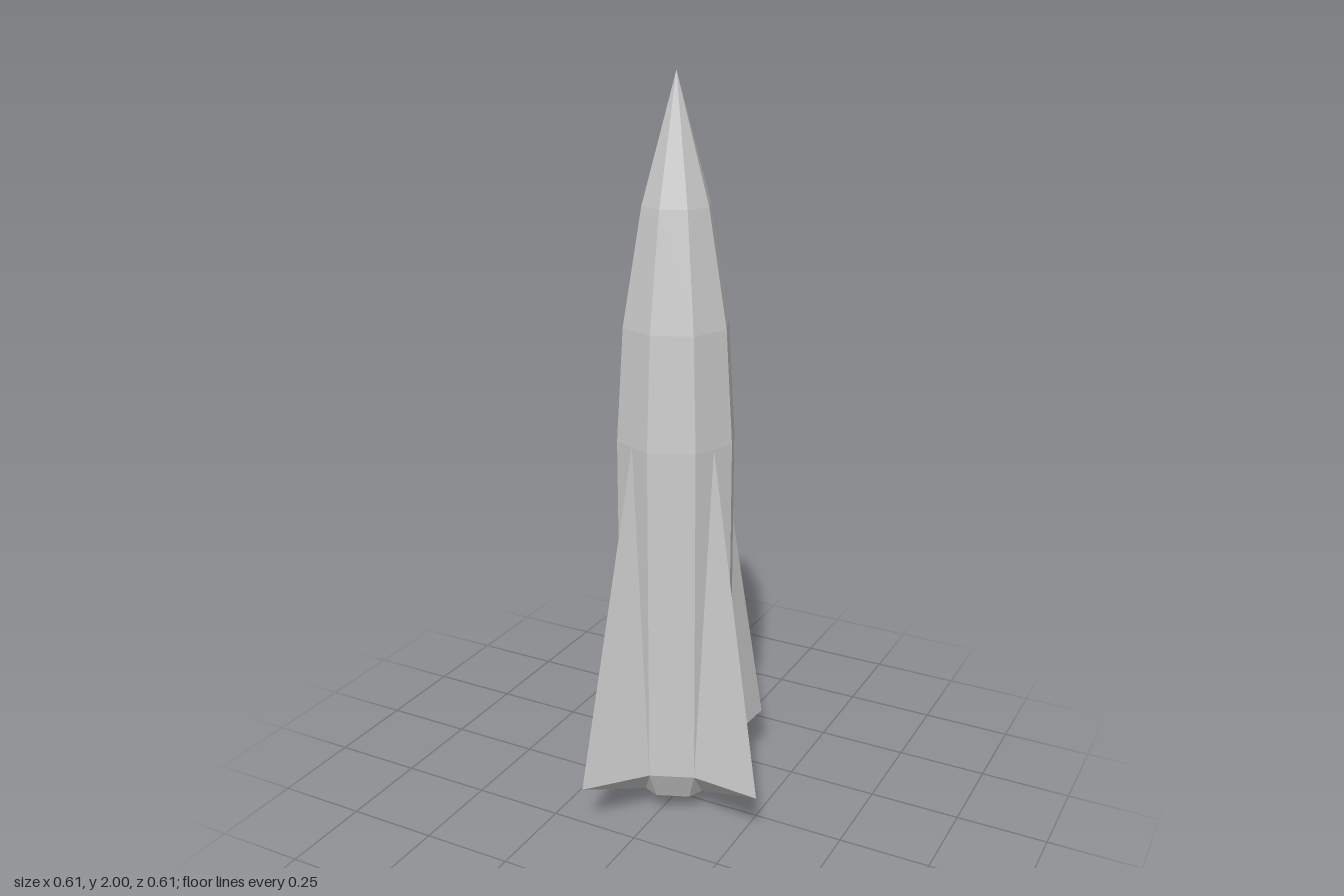
import * as THREE from 'three';

const SIDES = 8;
const HALF = Math.PI / SIDES; // half the angle of one hull side
const BODY_R = 0.16, TAIL_R = 0.12;
const RIM_Y = 0.145, TAIL_Y = 0.06, SHOULDER_Y = 1.08;

// One fin pointing along +z, rooted on the flat of one hull side
function finGeometry() {
  const face = BODY_R * Math.cos(HALF), half = BODY_R * Math.sin(HALF);
  const top = [0, SHOULDER_Y, face];
  const left = [-half, RIM_Y, face];
  const right = [half, RIM_Y, face];
  const low = [0, TAIL_Y, TAIL_R * Math.cos(HALF)];
  const tip = [0, RIM_Y, 0.33];
  const corners = [
    top, left, tip, top, tip, right, // flanks
    left, low, tip, right, tip, low, // underside
  ];
  const geometry = new THREE.BufferGeometry();
  geometry.setAttribute('position', new THREE.Float32BufferAttribute(corners.flat(), 3));
  geometry.computeVertexNormals();
  return geometry;
}

export function createModel() {
  const model = new THREE.Group();
  model.name = 'rocket';
  const material = new THREE.MeshStandardMaterial({ color: 0xcccccc, flatShading: true });

  // Eight-sided hull with pointed nose and tail
  const profile = [
    [0, 0], [TAIL_R, TAIL_Y], [BODY_R, RIM_Y], [BODY_R, SHOULDER_Y],
    [0.141, 1.38], [0.09, 1.68], [0, 2],
  ].map(([r, y]) => new THREE.Vector2(r, y));
  const hull = new THREE.Mesh(new THREE.LatheGeometry(profile, SIDES), material);
  hull.name = 'hull';
  model.add(hull);

  // Four fins on every other hull side
  const finShape = finGeometry();
  for (let i = 0; i < 4; i++) {
    const fin = new THREE.Mesh(finShape, material);
    fin.name = `fin${i + 1}`;
    fin.rotation.y = 3 * HALF + i * Math.PI / 2;
    model.add(fin);
  }
  return model;
}
